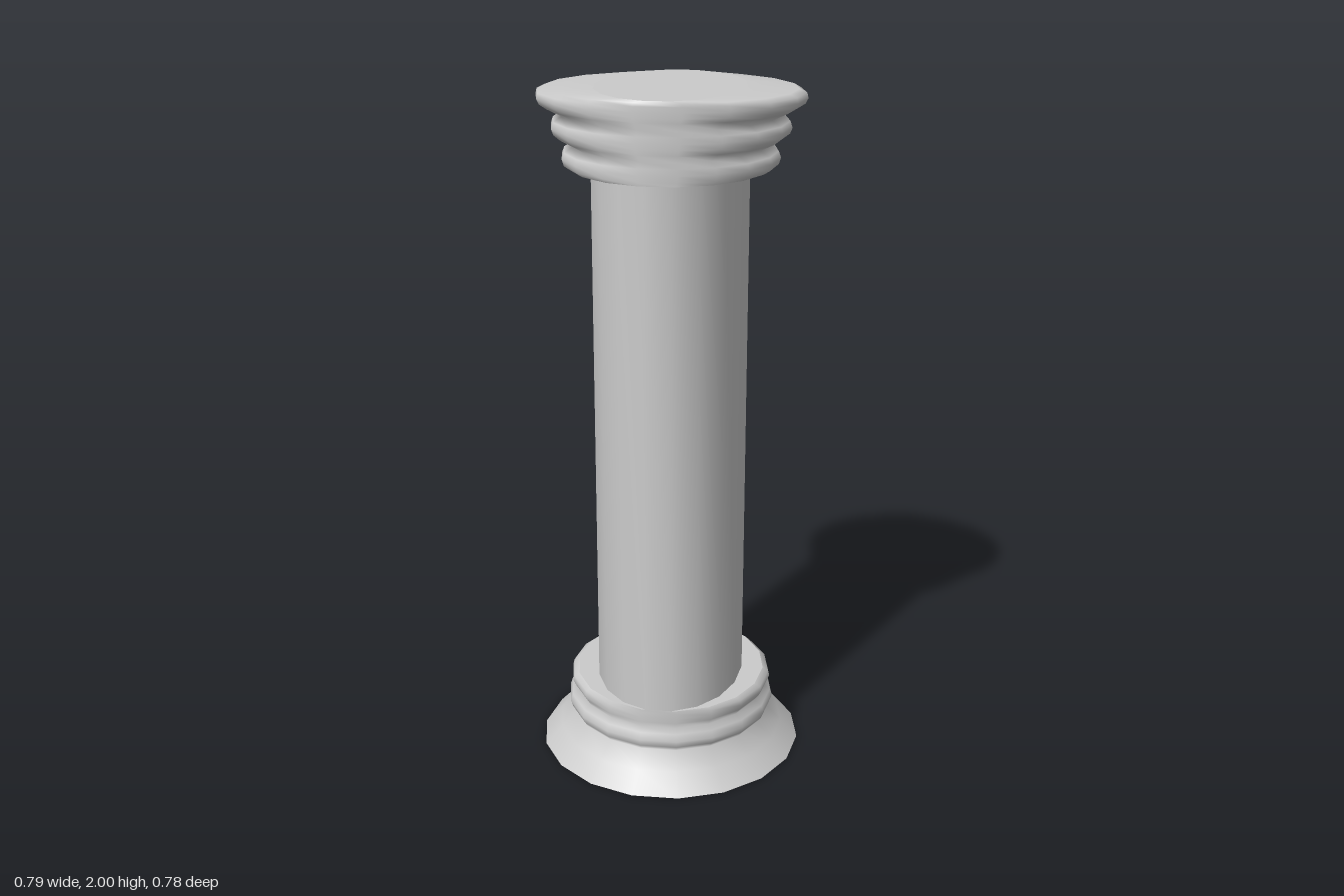
import * as THREE from 'three';
import { mergeVertices } from 'three/addons/utils/BufferGeometryUtils.js';

const SIDES = 18;
const material = new THREE.MeshStandardMaterial({ color: 0xcccccc });

// Smooth surface through elliptical rings, each [y, radius in x, radius in z], bottom to top
function loft(name, rings) {
  const points = rings.map(([y, rx]) => new THREE.Vector2(rx, y));
  const lathe = new THREE.LatheGeometry(points, SIDES, Math.PI / 2);
  const pos = lathe.attributes.position;
  for (let i = 0; i < pos.count; i++) {
    const [, rx, rz] = rings[i % rings.length];
    if (rx > 0) pos.setZ(i, pos.getZ(i) * rz / rx);
  }
  lathe.deleteAttribute('uv');
  lathe.deleteAttribute('normal');
  const geometry = mergeVertices(lathe, 1e-5);
  geometry.computeVertexNormals();
  const mesh = new THREE.Mesh(geometry, material);
  mesh.name = name;
  return mesh;
}

export function createModel() {
  const column = new THREE.Group();
  column.name = 'column';

  // Flared foot with two rounded rings
  column.add(loft('baseUnderside', [[0, 0, 0], [0, 0.395, 0.395]]));
  column.add(loft('base', [
    [0, 0.395, 0.395], [0.055, 0.343, 0.343], [0.105, 0.297, 0.302],
    [0.12, 0.308, 0.312], [0.14, 0.315, 0.316], [0.16, 0.308, 0.306],
    [0.178, 0.285, 0.3], [0.192, 0.297, 0.3], [0.208, 0.306, 0.3],
    [0.224, 0.302, 0.3], [0.234, 0.285, 0.3],
  ]));
  column.add(loft('baseLedge', [[0.234, 0.285, 0.3], [0.234, 0.22, 0.3]]));

  // Oval shaft
  column.add(loft('shaft', [[0.234, 0.22, 0.3], [1.78, 0.22, 0.3]]));

  // Capital: three rings widening upwards
  column.add(loft('capitalUnderside', [[1.78, 0.22, 0.3], [1.78, 0.28, 0.3]]));
  column.add(loft('capital', [
    [1.78, 0.28, 0.3], [1.79, 0.298, 0.3], [1.808, 0.304, 0.3],
    [1.826, 0.297, 0.3], [1.844, 0.27, 0.3],
    [1.86, 0.308, 0.3], [1.874, 0.327, 0.3], [1.89, 0.333, 0.3],
    [1.908, 0.327, 0.3], [1.925, 0.302, 0.3],
    [1.943, 0.345, 0.3], [1.955, 0.366, 0.3], [1.97, 0.374, 0.3],
    [1.985, 0.37, 0.3], [1.995, 0.35, 0.3], [2, 0.21, 0.3],
  ]));
  column.add(loft('capitalTop', [[2, 0.21, 0.3], [2, 0, 0]]));

  return column;
}
